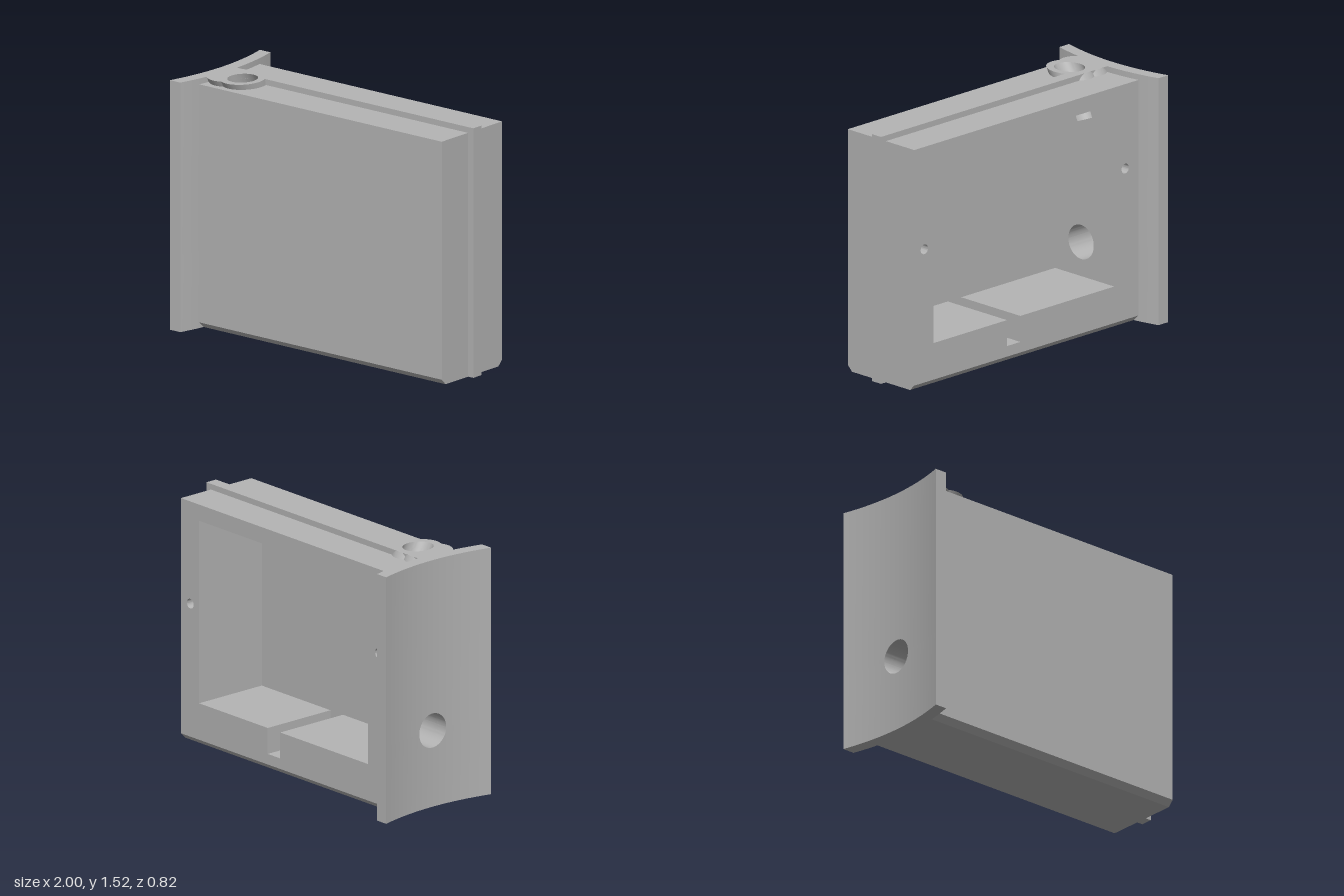
import * as THREE from 'three';
import { toCreasedNormals } from 'three/addons/utils/BufferGeometryUtils.js';

const grey = new THREE.MeshStandardMaterial({ color: 0xb4b4b4 });
grey.name = 'plain grey';

// Main heights and depths
const H = 1.52, TOP = 1.485, CH = 0.035, BACK = -0.275, MID = -0.135, INNER = 0.215, FRONT = 0.275;
// Cavity, side bore and tilted bore
const CAV = { x0: -0.69, x1: 0.8, y0: 0.26, y1: 1.385 };
const SLOT = { x0: 0.085, x1: 0.195, y: 0.1 };
const BORE = { y: 0.47, r: 0.105 };
const TILT = { x: -0.7, r: 0.085, slope: 0.55, end: 1.23 };
const ANG = Math.atan(TILT.slope);
const tiltZ = (y) => 0.105 - (H - y) * TILT.slope;
const chord = (r, d) => Math.sqrt(Math.max(0, r * r - d * d));

// Solid swept through a list of equal-length loops of [x, y, z]
function loft(loops) {
  const pos = [], n = loops[0].length;
  const tri = (a, b, c) => pos.push([a, b, c]);
  for (let i = 0; i + 1 < loops.length; i++) {
    for (let j = 0; j < n; j++) {
      const k = (j + 1) % n, A = loops[i], B = loops[i + 1];
      tri(A[j], A[k], B[k]);
      tri(A[j], B[k], B[j]);
    }
  }
  const first = loops[0], last = loops[loops.length - 1];
  for (let j = 1; j + 1 < n; j++) {
    tri(first[0], first[j + 1], first[j]);
    tri(last[0], last[j], last[j + 1]);
  }
  // Turn the corners outward
  const o = new THREE.Vector3(...first[0]);
  const v = (p) => new THREE.Vector3(...p).sub(o);
  const volume = pos.reduce((s, [a, b, c]) => s + v(a).dot(v(b).cross(v(c))), 0);
  const flat = pos.flatMap(([a, b, c]) => (volume < 0 ? [a, c, b] : [a, b, c])).flat();
  const g = new THREE.BufferGeometry();
  g.setAttribute('position', new THREE.Float32BufferAttribute(flat, 3));
  g.computeVertexNormals();
  return g;
}

function block(x0, x1, y0, y1, z0, z1) {
  return new THREE.BoxGeometry(x1 - x0, y1 - y0, z1 - z0)
    .translate((x0 + x1) / 2, (y0 + y1) / 2, (z0 + z1) / 2);
}

const polygon = (C, pts) => new C(pts.map(([x, y]) => new THREE.Vector2(x, y)));

export function createModel() {
  const model = new THREE.Group();
  const add = (name, g) => {
    const m = new THREE.Mesh(toCreasedNormals(g, 0.5), grey);
    m.name = name;
    model.add(m);
  };

  // Curved end flange and left wall, both pierced by the side bore
  const zs = [];
  for (let i = 0; i <= 32; i++) zs.push(-BORE.r * Math.cos((i / 32) * Math.PI));
  for (let i = 0; i < 10; i++) {
    const z = 0.41 - i * 0.03;
    zs.push(z, -z);
  }
  zs.sort((a, b) => a - b);
  const bow = (z) => -0.945 - 0.055 * (z / 0.41) ** 2;
  const pierced = (name, cols, x0, x1, top) => {
    for (const [part, lo, hi] of [
      ['Lower', () => 0, (z) => BORE.y - chord(BORE.r, z)],
      ['Upper', (z) => BORE.y + chord(BORE.r, z), () => top],
    ]) {
      add(name + part, loft(cols.map((z) => [
        [x0(z), lo(z), z], [x0(z), hi(z), z], [x1(z), hi(z), z], [x1(z), lo(z), z],
      ])));
    }
  };
  pierced('flange', zs, bow, (z) => bow(z) + 0.08, H);
  const wallZ = [MID, ...zs.filter((z) => z > MID && z < INNER), INNER];
  const WALL = 1.13;
  pierced('leftWall', wallZ, () => -0.9, () => CAV.x0, WALL);

  // Top of the left wall, with the blind end of the tilted bore cut into it
  const cornerX = TILT.x - TILT.r;
  add('leftWallTop', block(-0.9, cornerX, WALL, TOP, MID, INNER));
  const grooveX = [], roofX = [];
  const split = Math.acos((TILT.x - CAV.x0) / TILT.r);
  for (let i = 0; i <= 16; i++) {
    grooveX.push(TILT.x - TILT.r * Math.cos((i / 16) * split));
    roofX.push(TILT.x - TILT.r * Math.cos(split + (i / 16) * (Math.PI - split)));
  }
  const edge = (x, y, s) => tiltZ(y) + (s * chord(TILT.r, x - TILT.x)) / Math.cos(ANG);
  const endPoint = (x, s) => {
    const h = s * chord(TILT.r, x - TILT.x);
    return [x, TILT.end - h * Math.sin(ANG), tiltZ(TILT.end) + h * Math.cos(ANG)];
  };
  for (const [s, z] of [[1, INNER], [-1, MID]]) {
    add('grooveSide', loft(grooveX.map((x) => [
      [x, WALL, z], [x, TOP, z], [x, TOP, edge(x, TOP, s)], endPoint(x, s),
    ])));
    add('boreRoof', loft(roofX.map((x) => [
      [x, CAV.y1, z], [x, TOP, z], [x, TOP, edge(x, TOP, s)], [x, CAV.y1, edge(x, CAV.y1, s)],
    ])));
  }
  add('grooveEnd', loft(grooveX.map((x) => [
    [x, WALL, INNER], endPoint(x, 1), endPoint(x, -1), [x, WALL, MID],
  ])));

  // Remaining cavity walls
  add('frontWall', block(-0.9, 0.96, CH, TOP, INNER, FRONT));
  add('rightWall', block(CAV.x1, 0.96, CH, TOP, MID, INNER));
  add('ceiling', block(TILT.x + TILT.r, CAV.x1, CAV.y1, TOP, MID, INNER));
  add('floorLeft', block(CAV.x0, SLOT.x0, CH, CAV.y0, MID, INNER));
  add('slotFloor', block(SLOT.x0, SLOT.x1, CH, SLOT.y, MID, INNER));
  add('floorRight', block(SLOT.x1, CAV.x1, CH, CAV.y0, MID, INNER));

  // Back frame with cavity opening, floor slot and two screw holes
  const frame = polygon(THREE.Shape, [[-0.9, CH], [0.96, CH], [0.96, TOP], [-0.9, TOP]]);
  frame.holes.push(polygon(THREE.Path, [
    [CAV.x0, CAV.y0], [SLOT.x0, CAV.y0], [SLOT.x0, SLOT.y], [SLOT.x1, SLOT.y],
    [SLOT.x1, CAV.y0], [CAV.x1, CAV.y0], [CAV.x1, CAV.y1], [CAV.x0, CAV.y1],
  ]));
  for (const [x, y] of [[0.877, 0.855], [-0.78, 0.965]]) {
    frame.holes.push(new THREE.Path().absarc(x, y, 0.03, 0, Math.PI * 2, true));
  }
  add('backFrame', new THREE.ExtrudeGeometry(frame, {
    depth: MID - BACK, bevelEnabled: false, curveSegments: 24,
  }).translate(0, 0, BACK));

  // Bottom with chamfered long edges
  add('chamferedBase', loft([-0.9, 0.96].map((x) => [
    [x, 0, -0.24], [x, 0, 0.24], [x, CH, FRONT], [x, CH, BACK],
  ])));

  // Central rib along the end and the top, clear of the bore
  add('endRib', block(0.95, 1, 0, H, -0.04, 0.035));
  add('topRib', block(-0.63, 0.96, TOP, H, -0.04, 0.035));
  add('topRibBack', block(-0.9, -0.63, TOP, H, -0.04, -0.012));
  add('topRibLeft', block(-0.9, -0.77, TOP, H, -0.04, 0.035));

  // Double round boss leaning with the tilted bore
  const a = Math.acos(0.4);
  const boss = new THREE.Shape();
  boss.absellipse(TILT.x, 0.105, 0.125, 0.148, -Math.PI + a, Math.PI - a, false);
  boss.absellipse(TILT.x - 0.1, 0.105, 0.125, 0.148, a, Math.PI * 2 - a, false);
  boss.holes.push(new THREE.Path().absellipse(
    TILT.x, 0.105, TILT.r, TILT.r / Math.cos(ANG), 0, Math.PI * 2, true));
  const bossGeo = new THREE.ExtrudeGeometry(boss, {
    depth: H - TOP, bevelEnabled: false, curveSegments: 32,
  }).rotateX(Math.PI / 2).translate(0, H, 0);
  const p = bossGeo.attributes.position;
  for (let i = 0; i < p.count; i++) p.setZ(i, p.getZ(i) + (p.getY(i) - H) * TILT.slope);
  add('boreBoss', bossGeo);

  return model;
}
